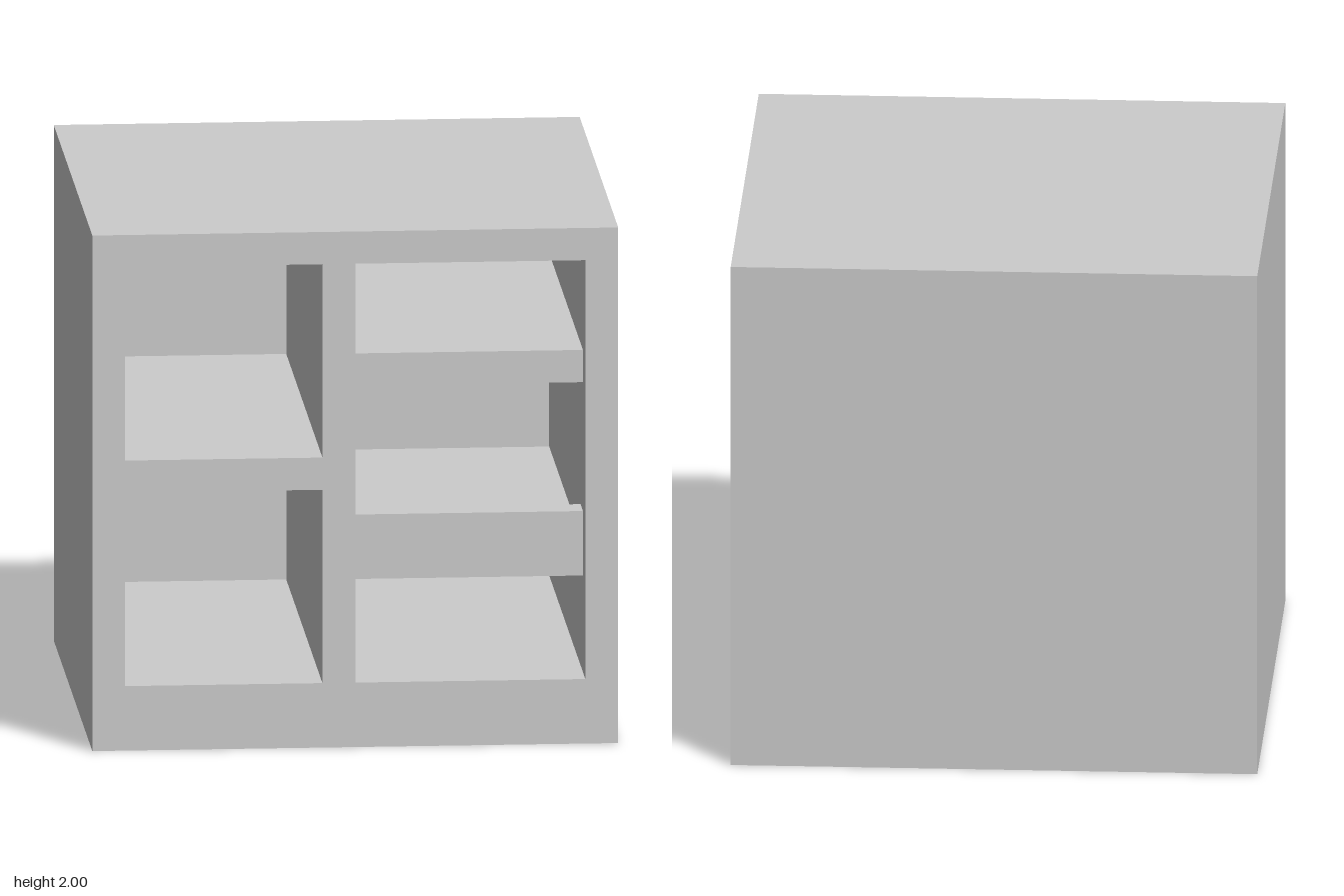
import * as THREE from 'three';

const grey = new THREE.MeshStandardMaterial({ color: 0xcccccc, side: THREE.DoubleSide });
grey.name = 'plain grey';

// Adds corner points of a rectangle to a shape or hole path
function rect(path, x0, y0, x1, y1) {
  path.moveTo(x0, y0);
  path.lineTo(x1, y0);
  path.lineTo(x1, y1);
  path.lineTo(x0, y1);
  path.closePath();
  return path;
}

export function createModel() {
  const group = new THREE.Group();
  group.name = 'shelfCabinet';

  const add = (name, geometry) => {
    const mesh = new THREE.Mesh(geometry, grey);
    mesh.name = name;
    group.add(mesh);
  };
  // Box given by its lowest and highest corners
  const addBox = (name, [x0, y0, z0], [x1, y1, z1]) => {
    const geometry = new THREE.BoxGeometry(x1 - x0, y1 - y0, z1 - z0);
    add(name, geometry.translate((x0 + x1) / 2, (y0 + y1) / 2, (z0 + z1) / 2));
  };

  // Carcass with two cubbies on one side and a tall bay on the other
  const front = rect(new THREE.Shape(), -1, 0.125, 1, 2);
  const openings = [
    [-0.875, 1.125, -0.125, 1.875],
    [-0.875, 0.25, -0.125, 1],
    [0, 0.25, 0.875, 1.875],
  ];
  for (const o of openings) front.holes.push(rect(new THREE.Path(), ...o));
  const carcass = new THREE.ExtrudeGeometry(front, { depth: 1.875, bevelEnabled: false });
  add('carcass', carcass.translate(0, 0, -0.875));

  // Back closing all the openings
  addBox('backPanel', [-1, 0.125, -1], [1, 2, -0.875]);

  // Shelves in the tall bay, set back from the front
  addBox('upperShelf', [0, 1.375, -0.875], [0.875, 1.5, 0.875]);
  addBox('lowerShelf', [0, 0.625, -0.875], [0.875, 0.75, 0.75]);
  addBox('lowerShelfLip', [0, 0.625, 0.75], [0.875, 0.875, 0.875]);

  // Thin skirt around the hollow underside
  const skirt = new THREE.CylinderGeometry(Math.SQRT2, Math.SQRT2, 0.125, 4, 1, true)
    .rotateY(Math.PI / 4).translate(0, 0.0625, 0).toNonIndexed();
  skirt.computeVertexNormals();
  add('baseSkirt', skirt);

  return group;
}
